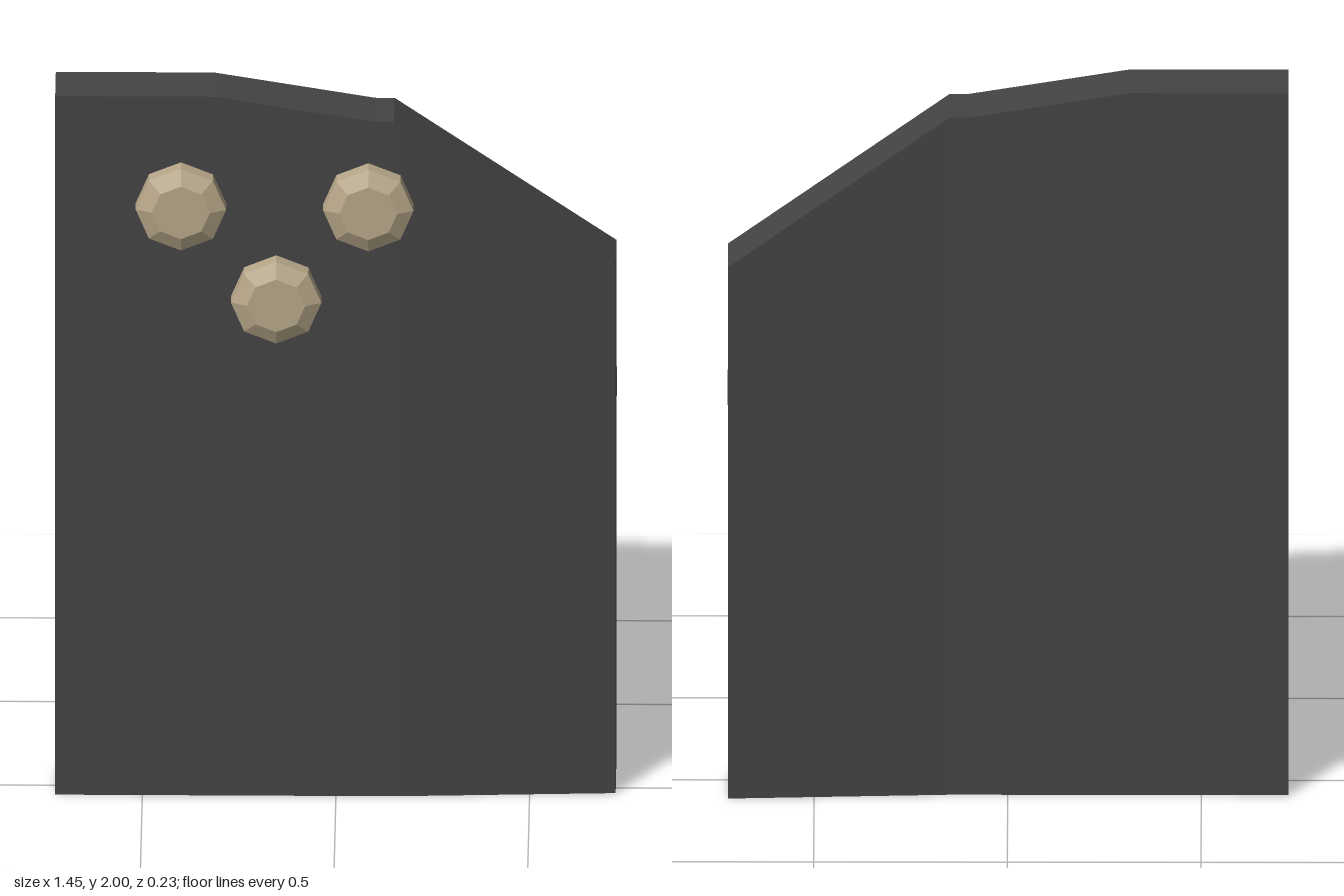
import * as THREE from 'three';

export function createModel() {
  const model = new THREE.Group();
  const dark = new THREE.MeshStandardMaterial({ color: 0x444444, flatShading: true });
  const stone = new THREE.MeshStandardMaterial({ color: 0xb8a88a, flatShading: true });

  const add = (name, geometry, material) => {
    const mesh = new THREE.Mesh(geometry, material);
    mesh.name = name;
    model.add(mesh);
    return mesh;
  };

  // Slab: a box whose columns follow the top outline and bend back on the left
  const columns = [[-0.725, 2], [-0.315, 2], [0.1, 1.93], [0.15, 1.93], [0.722, 1.515]];
  const bendX = 0.15, bendSlope = 0.025 / 0.572;
  const slab = new THREE.BoxGeometry(columns.length - 1, 1, 0.145, columns.length - 1, 1, 1);
  const p = slab.attributes.position;
  for (let i = 0; i < p.count; i++) {
    const [x, top] = columns[Math.round(p.getX(i) + (columns.length - 1) / 2)];
    const shift = Math.max(0, x - bendX) * bendSlope;
    p.setXYZ(i, x, p.getY(i) > 0 ? top : 0, p.getZ(i) - 0.0165 - shift);
  }
  slab.computeVertexNormals();
  add('slab', slab, dark);

  // Small side button on the left edge
  add('sideButton', new THREE.BoxGeometry(0.02, 0.078, 0.05), dark).position.set(0.714, 1.138, -0.04);

  // Three eight-sided knobs with bevelled fronts
  const profile = [[0, 0], [0.117, 0], [0.117, 0.043], [0.075, 0.063], [0, 0.063]]
    .map(([r, y]) => new THREE.Vector2(r, y));
  const knob = new THREE.LatheGeometry(profile, 8).rotateX(Math.PI / 2);
  [[-0.4, 1.695], [0.084, 1.695], [-0.154, 1.43]].forEach(([x, y], i) => {
    add(`knob${i + 1}`, knob, stone).position.set(x, y, 0.052);
  });

  return model;
}
